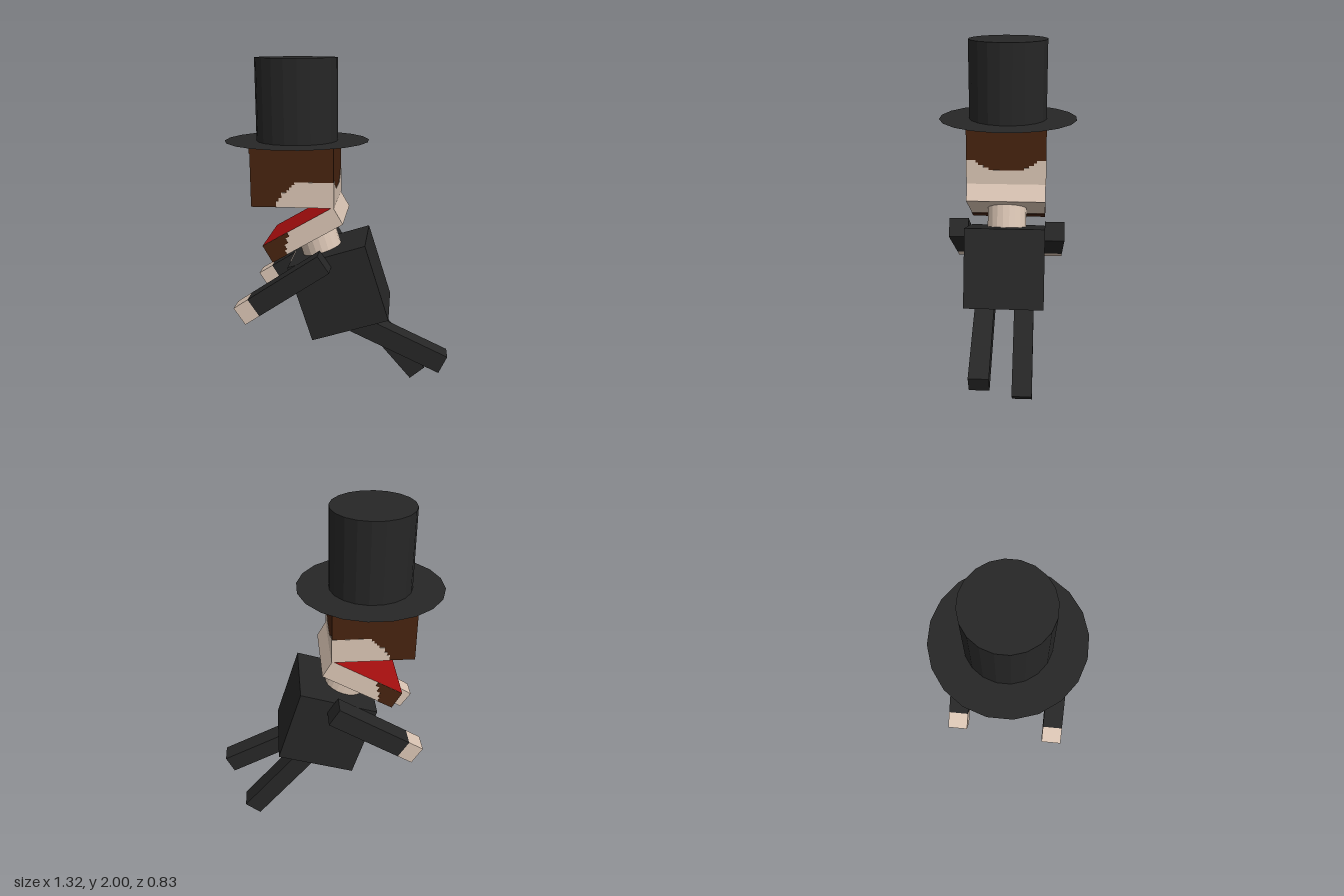
import * as THREE from 'three';

const mat = (name, color) => Object.assign(new THREE.MeshStandardMaterial({ color, flatShading: true }), { name });

export function createModel() {
  const cloth = mat('black cloth', 0x262626);
  cloth.side = THREE.DoubleSide; // the brim is a single sheet
  const skin = mat('skin', 0xd9c4b3);
  const hair = mat('brown hair', 0x46230f);
  const red = mat('red mouth', 0xa40e0e);
  const black = mat('black', 0x111111);

  const model = new THREE.Group();
  model.name = 'topHatFigure';
  const rad = THREE.MathUtils.degToRad;
  const T = 0.006; // thickness of painted plates

  function group(name, x, y, z, degrees = 0) {
    const g = new THREE.Group();
    g.name = name;
    g.position.set(x, y, z);
    g.rotation.z = rad(degrees);
    model.add(g);
    return g;
  }
  function add(parent, name, geometry, material, x = 0, y = 0, z = 0) {
    const m = new THREE.Mesh(geometry, material);
    m.name = name;
    m.position.set(x, y, z);
    parent.add(m);
    return m;
  }
  const box = (w, h, d) => new THREE.BoxGeometry(w, h, d);
  const plate = (points) => new THREE.ExtrudeGeometry(
    new THREE.Shape(points.map(([x, y]) => new THREE.Vector2(x, y))), { depth: T, bevelEnabled: false }).translate(0, 0, -T / 2);
  // Plate painted on both z sides of a block
  function sidePlates(parent, name, points, material) {
    for (const s of [1, -1]) add(parent, name, plate(points), material, 0, 0, s * 0.234);
  }
  // Plate symmetric in z, painted on a face looking along x
  function endPlate(parent, name, points, material, x) {
    const mirrored = points.map(([a, b]) => [-a, b]).reverse();
    add(parent, name, plate([...points, ...mirrored]), material, x).rotation.y = Math.PI / 2;
  }
  const tube = (r, h) => new THREE.CylinderGeometry(r, r, h, 20).rotateY(Math.PI / 20);

  // Upper head; faces ordered back, face, top, mouth roof, sides
  const head = group('head', -0.25, 1.355, 0);
  add(head, 'skull', box(0.47, 0.35, 0.47), [hair, skin, hair, black, hair, hair]);
  sidePlates(head, 'cheek', [
    [-0.09, -0.175], [0.235, -0.175], [0.235, -0.03], [0.015, -0.03], [0.015, -0.045], [0, -0.045], [0, -0.06],
    [-0.015, -0.06], [-0.015, -0.075], [-0.03, -0.075], [-0.03, -0.09], [-0.06, -0.09], [-0.06, -0.12],
    [-0.075, -0.12], [-0.075, -0.14], [-0.09, -0.14]], skin);
  endPlate(head, 'nape', [
    [-0.235, -0.175], [-0.235, -0.03], [-0.18, -0.03], [-0.18, -0.045], [-0.165, -0.045], [-0.165, -0.06],
    [-0.135, -0.06], [-0.135, -0.075], [-0.105, -0.075], [-0.105, -0.09]].reverse(), skin, 0.234);
  add(head, 'fringe', box(T, 0.05, 0.47), hair, -0.235, 0.15);
  for (const s of [1, -1]) {
    const eye = add(head, 'eye', new THREE.CylinderGeometry(0.029, 0.029, T, 10), black, -0.236, 0.022, s * 0.123);
    eye.rotation.z = Math.PI / 2;
  }

  // Top hat
  const hat = group('topHat', -0.25, 1.53, 0);
  add(hat, 'crown', tube(0.237, 0.47), cloth, 0, 0.235);
  add(hat, 'brim', new THREE.CircleGeometry(0.42, 20).rotateX(-Math.PI / 2).rotateY(Math.PI / 20), cloth, 0, 0.001);

  // Dropped jaw with a goatee
  const jaw = group('jaw', -0.194, 1.019, 0, 30);
  add(jaw, 'jawBlock', box(0.47, 0.113, 0.47), [skin, hair, red, skin, skin, skin]);
  sidePlates(jaw, 'beardSide', [
    [-0.235, -0.056], [-0.135, -0.056], [-0.135, -0.03], [-0.12, -0.03], [-0.12, 0],
    [-0.095, 0], [-0.095, 0.03], [-0.07, 0.03], [-0.07, 0.056], [-0.235, 0.056]], hair);
  add(jaw, 'beardUnderside', box(0.1, T, 0.47), hair, -0.185, -0.056);

  // Torso, open collar and neck share one lean
  const torso = group('torso', 0.01, 0.668, 0, 17.5);
  add(torso, 'jacket', box(0.47, 0.47, 0.47), cloth);
  add(torso, 'neck', tube(0.12, 0.2), skin, -0.05, 0.285);
  endPlate(torso, 'openCollar', [
    [-0.11, 0.235], [-0.11, 0.09], [-0.08, 0.09], [-0.08, 0.07], [-0.03, 0.07], [-0.03, 0.06]], skin, -0.235);

  // Arms reach towards -x and end in bare hands
  function arm(name, x, y, z, degrees) {
    const g = group(name, x, y, z, degrees);
    add(g, 'sleeve', box(0.485, 0.118, 0.118), cloth, 0.05);
    add(g, 'hand', box(0.1, 0.118, 0.118), skin, -0.2425);
  }
  arm('nearArm', -0.305, 0.72, 0.295, 33.8);
  arm('farArm', -0.27, 0.7275, -0.295, 32);

  // Legs trail towards +x
  add(group('nearLeg', 0.368, 0.342, 0.1175, -25.2), 'trouserLeg', box(0.585, 0.116, 0.116), cloth);
  add(group('farLeg', 0.298, 0.264, -0.1175, -49.5), 'trouserLeg', box(0.585, 0.116, 0.116), cloth);

  return model;
}
